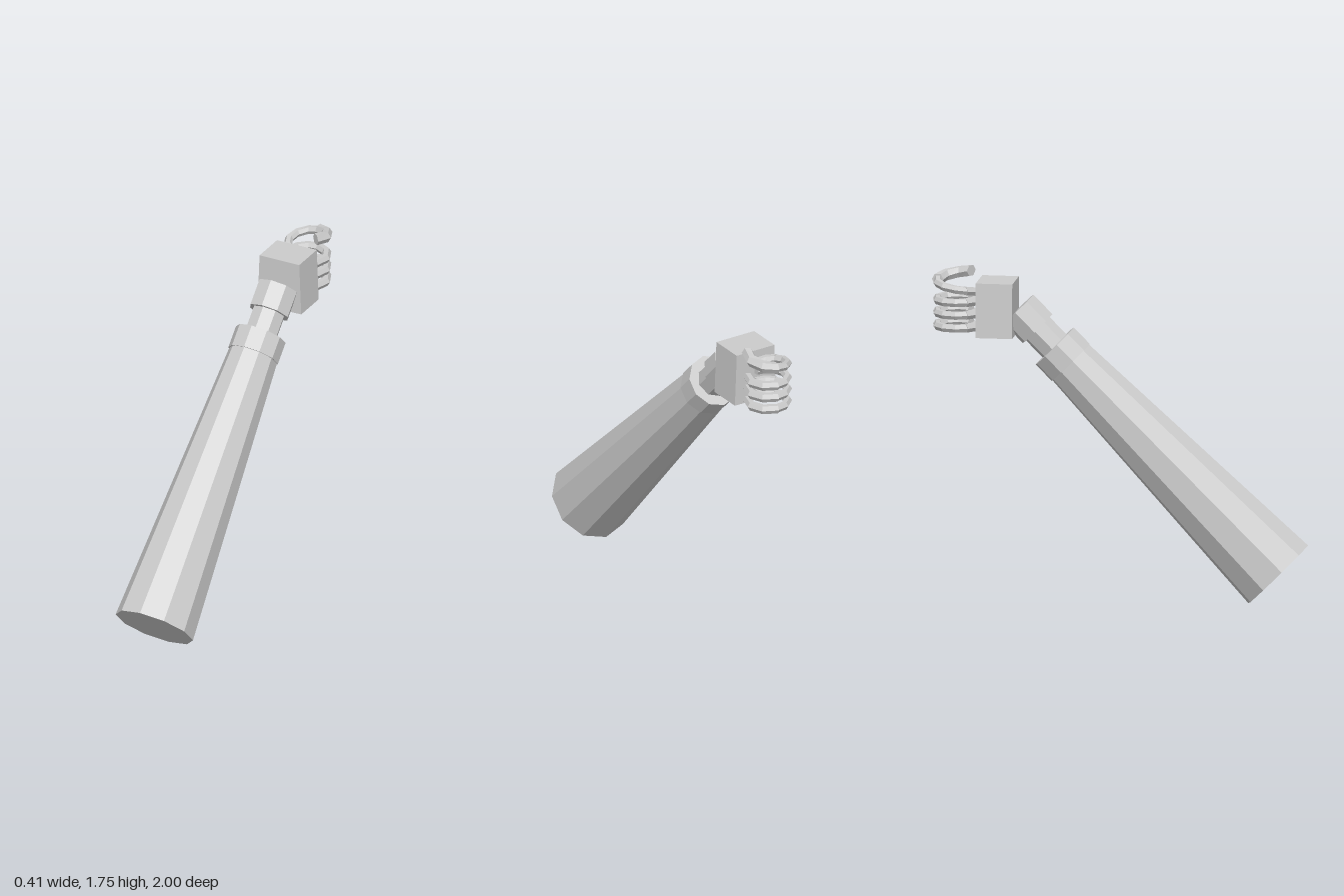
import * as THREE from 'three';

const grey = new THREE.MeshStandardMaterial({ color: 0xcccccc, flatShading: true });
grey.name = 'light grey';

function addMesh(parent, name, geometry) {
  const mesh = new THREE.Mesh(geometry, grey);
  mesh.name = name;
  parent.add(mesh);
  return mesh;
}

// Section of the arm between two distances along its axis
function armSection(parent, name, from, to, r0, r1, sides, widthScale = 1) {
  const geo = new THREE.CylinderGeometry(r1, r0, to - from, sides);
  geo.scale(widthScale, 1, 1);
  addMesh(parent, name, geo).position.y = (from + to) / 2;
}

// Hexagonal bar curled around a vertical axis, closed at both ends.
// Angles run from the palm (+z) round through -x.
function curledBar(start, end, curl, radius, heightAt, steps) {
  const sides = 6, pos = [], index = [];
  for (let i = -1; i <= steps + 1; i++) {
    const k = Math.min(Math.max(i, 0), steps) / steps;
    const a = THREE.MathUtils.degToRad(start + (end - start) * k);
    const r = i < 0 || i > steps ? 0 : radius;
    for (let j = 0; j < sides; j++) {
      const phi = (j / sides) * Math.PI * 2;
      const d = curl + r * Math.cos(phi);
      pos.push(-Math.sin(a) * d, heightAt(start + (end - start) * k) + r * Math.sin(phi), Math.cos(a) * d);
    }
  }
  for (let i = 0; i < steps + 2; i++) {
    for (let j = 0; j < sides; j++) {
      const a = i * sides + j, b = i * sides + (j + 1) % sides;
      index.push(a, b, a + sides, b, b + sides, a + sides);
    }
  }
  const geo = new THREE.BufferGeometry();
  geo.setAttribute('position', new THREE.Float32BufferAttribute(pos, 3));
  geo.setIndex(index);
  geo.computeVertexNormals();
  return geo;
}

export function createModel() {
  const model = new THREE.Group();
  model.name = 'mechanicalArm';

  // Forearm, leaning back at 45 degrees
  const arm = new THREE.Group();
  arm.name = 'arm';
  arm.position.set(0, 0.161, 0.841);
  arm.rotation.x = -Math.PI / 4;
  model.add(arm);
  armSection(arm, 'forearm', 0, 1.57, 0.225, 0.138, 10, 0.955);
  armSection(arm, 'forearmCuff', 1.56, 1.681, 0.1437, 0.1437, 10, 0.96);
  armSection(arm, 'wrist', 1.67, 1.83, 0.09, 0.09, 8);
  armSection(arm, 'wristSleeve', 1.809, 1.953, 0.112, 0.112, 8);

  // Hand block, slightly narrower at the top
  const block = new THREE.BoxGeometry(0.26, 0.29, 0.195);
  const p = block.attributes.position;
  for (let i = 0; i < p.count; i++) {
    if (p.getY(i) > 0) p.setX(i, p.getX(i) * 0.91);
  }
  block.computeVertexNormals();
  addMesh(model, 'hand', block).position.set(0, 1.55, -0.653);

  // Curled fingers, each in three jointed pieces; the top one rises to its tip
  const fingers = [
    { y: 1.63, rise: 0.095, tip: 0.032 },
    { y: 1.585, rise: 0, tip: 0.026 },
    { y: 1.517, rise: 0, tip: 0.026 },
    { y: 1.448, rise: 0, tip: 0.026 },
  ];
  fingers.forEach(({ y, rise, tip }, n) => {
    const finger = new THREE.Group();
    finger.name = 'finger' + (n + 1);
    finger.position.set(0, y, -0.867);
    model.add(finger);
    const height = (deg) => (rise * deg) / 307;
    [[-4, 56, 0.025, 2], [52, 190, 0.023, 4], [186, 307, tip, 3]].forEach(([a, b, r, steps], i) => {
      addMesh(finger, ['base', 'middle', 'tip'][i] + 'Joint', curledBar(a, b, 0.105, r, height, steps));
    });
  });

  return model;
}
